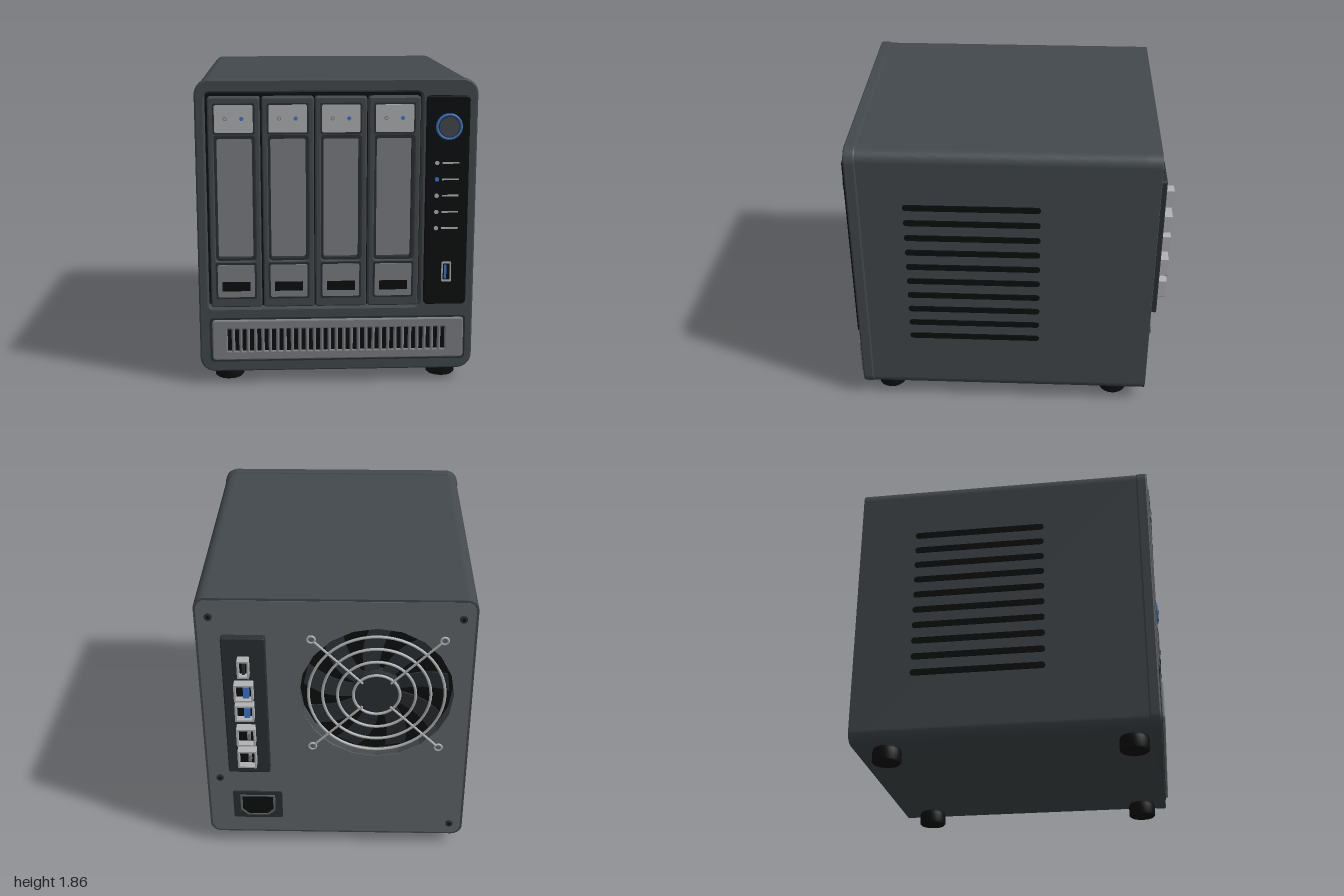
import * as THREE from 'three';

const mat = (name, color) => Object.assign(new THREE.MeshStandardMaterial({ color }), { name });

// Rounded rectangle outline from corner to corner
function rounded(x0, y0, x1, y1, r, Type = THREE.Shape) {
  const s = new Type(), h = Math.PI / 2;
  s.moveTo(x0 + r, y0);
  s.lineTo(x1 - r, y0); s.absarc(x1 - r, y0 + r, r, -h, 0);
  s.lineTo(x1, y1 - r); s.absarc(x1 - r, y1 - r, r, 0, h);
  s.lineTo(x0 + r, y1); s.absarc(x0 + r, y1 - r, r, h, 2 * h);
  s.lineTo(x0, y0 + r); s.absarc(x0 + r, y0 + r, r, 2 * h, 3 * h);
  return s;
}
const hole = (x0, y0, x1, y1, r) => rounded(x0, y0, x1, y1, r, THREE.Path);
const circle = (x, y, r) => new THREE.Path().absarc(x, y, r, 0, Math.PI * 2);

export function createModel() {
  const model = new THREE.Group();
  model.name = 'storageBox';
  const body = mat('charcoal body', 0x43494d);
  const dark = mat('dark trim', 0x2c3033);
  const black = mat('black', 0x0d0e0f);
  const grey = mat('mid grey', 0x7c7f85);
  const light = mat('light grey', 0xb2b3b5);
  const blue = mat('blue', 0x3d78cf);
  const rear = mat('rear panel grey', 0x63676a);

  const add = (name, geo, m, x = 0, y = 0, z = 0, parent = model) => {
    const mesh = new THREE.Mesh(geo, m);
    mesh.name = name;
    mesh.position.set(x, y, z);
    parent.add(mesh);
    return mesh;
  };
  // Extruded outline between two depths, with an optional bevel
  const slab = (name, shape, m, z0, z1, holes = [], bevel = 0) => {
    shape.holes.push(...holes);
    const geo = new THREE.ExtrudeGeometry(shape, {
      depth: z1 - z0 - 2 * bevel, curveSegments: 10, bevelEnabled: bevel > 0,
      bevelSize: bevel, bevelThickness: bevel, bevelOffset: -bevel, bevelSegments: 2,
    });
    return add(name, geo, m, 0, 0, z0 + bevel);
  };
  const box = (name, m, x0, y0, x1, y1, z0, z1) =>
    add(name, new THREE.BoxGeometry(x1 - x0, y1 - y0, z1 - z0), m, (x0 + x1) / 2, (y0 + y1) / 2, (z0 + z1) / 2);
  const disc = (name, m, x, y, z0, z1, r, n = 20) =>
    add(name, new THREE.CylinderGeometry(r, r, z1 - z0, n).rotateX(Math.PI / 2), m, x, y, (z0 + z1) / 2);

  // Case, rear shell around the fan well, rear plate
  const FX = -0.245, FY = 1.195, FR = 0.465;
  slab('case', rounded(-0.82, 0.09, 0.82, 1.85, 0.07), body, -0.8, 0.9);
  slab('rearShell', rounded(-0.82, 0.09, 0.82, 1.85, 0.07), body, -0.89, -0.8, [circle(FX, FY, FR)]);
  slab('rearPanel', rounded(-0.806, 0.104, 0.806, 1.836, 0.06), rear, -0.894, -0.885, [circle(FX, FY, FR)]);

  // Front bezel with the bay opening
  slab('frontBezel', rounded(-0.828, 0.08, 0.828, 1.86, 0.09), body, 0.895, 0.966,
    [hole(-0.77, 0.48, 0.502, 1.782, 0.03)], 0.01);
  slab('bayBacking', rounded(-0.79, 0.46, 0.52, 1.8, 0.03), black, 0.895, 0.906);

  // Four drive bays
  for (const cx of [-0.601, -0.286, 0.025, 0.339]) {
    slab('bayFrame', rounded(cx - 0.152, 0.49, cx + 0.152, 1.757, 0.015), body, 0.9, 0.974,
      [hole(cx - 0.118, 0.778, cx + 0.118, 1.527, 0.02)], 0.008);
    slab('bayWindowLining', rounded(cx - 0.126, 0.77, cx + 0.126, 1.535, 0.02), dark, 0.906, 0.966,
      [hole(cx - 0.104, 0.793, cx + 0.104, 1.512, 0.015)]);
    box('bayInnerPanel', grey, cx - 0.11, 0.785, cx + 0.11, 1.52, 0.906, 0.925);
    slab('labelTrim', rounded(cx - 0.122, 1.54, cx + 0.122, 1.722, 0.012), dark, 0.97, 0.976);
    slab('bayLabel', rounded(cx - 0.112, 1.55, cx + 0.112, 1.712, 0.01), light, 0.97, 0.98);
    slab('latchTrim', rounded(cx - 0.122, 0.543, cx + 0.122, 0.767, 0.012), dark, 0.97, 0.976);
    slab('latch', rounded(cx - 0.11, 0.555, cx + 0.11, 0.755, 0.01), grey, 0.97, 0.98);
    box('latchSlot', black, cx - 0.084, 0.593, cx + 0.084, 0.65, 0.975, 0.982);
    disc('idleLightRing', grey, cx - 0.05, 1.632, 0.975, 0.982, 0.012, 14);
    disc('idleLight', light, cx - 0.05, 1.632, 0.975, 0.984, 0.007, 14);
    disc('activeLight', blue, cx + 0.046, 1.632, 0.975, 0.984, 0.012, 14);
  }

  // Control strip: power button, indicators, port
  slab('controlPanel', rounded(0.524, 0.497, 0.78, 1.762, 0.025), black, 0.96, 0.984, [], 0.006);
  disc('powerButton', dark, 0.657, 1.58, 0.98, 0.998, 0.064, 40);
  disc('powerButtonFace', body, 0.657, 1.58, 0.99, 1.0, 0.058, 40);
  add('powerRing', new THREE.TorusGeometry(0.071, 0.008, 10, 48), blue, 0.657, 1.58, 0.99);
  for (let i = 0; i < 5; i++) {
    const y = 1.365 - i * 0.0985;
    disc('indicator', i === 1 ? blue : light, 0.591, y, 0.98, 0.99, 0.013, 16);
    box('indicatorLine', light, 0.622, y - 0.005, 0.722, y + 0.005, 0.98, 0.988);
  }
  slab('frontPortFrame', rounded(0.629, 0.642, 0.687, 0.762, 0.006), light, 0.98, 0.995,
    [hole(0.637, 0.65, 0.679, 0.754, 0.003)]);
  box('frontPortTongue', blue, 0.645, 0.66, 0.659, 0.746, 0.98, 0.991);

  // Lower vent grille
  slab('ventTrim', rounded(-0.768, 0.145, 0.785, 0.421, 0.025), dark, 0.96, 0.97);
  slab('ventBacking', rounded(-0.7, 0.2, 0.7, 0.37, 0.01), black, 0.96, 0.974);
  const slots = [];
  for (let i = 0; i < 30; i++) {
    const x = -0.648 + i * 0.0446;
    slots.push(hole(x - 0.012, 0.215, x + 0.012, 0.352, 0.002));
  }
  slab('ventGrille', rounded(-0.752, 0.158, 0.772, 0.41, 0.02), grey, 0.962, 0.986, slots, 0.008);

  // Side slots, offset differently on each side
  for (const [side, z] of [[1, 0.222], [-1, -0.115]]) {
    for (let i = 0; i < 10; i++) {
      const geo = new THREE.ExtrudeGeometry(rounded(-0.413, -0.02, 0.413, 0.02, 0.019),
        { depth: 0.009, bevelEnabled: false, curveSegments: 6 });
      add('sideSlot', geo, black, side * 0.817, 0.517 + i * 0.1073, z).rotation.y = side * Math.PI / 2;
    }
  }

  // Feet
  for (const x of [-0.66, 0.66]) for (const z of [0.8, -0.687]) {
    const foot = [[0, 0], [0.08, 0], [0.089, 0.009], [0.089, 0.075], [0.08, 0.095], [0, 0.095]]
      .map(p => new THREE.Vector2(...p));
    add('foot', new THREE.LatheGeometry(foot, 28), black, x, 0, z);
  }

  // Rear fan: well, blades, hub and wire guard
  disc('fanWell', black, FX, FY, -0.806, -0.799, FR + 0.01, 48);
  const fan = new THREE.Group();
  fan.name = 'fan';
  fan.position.set(FX, FY, -0.84);
  model.add(fan);
  const blade = new THREE.Shape();
  blade.moveTo(0.13, -0.04);
  blade.quadraticCurveTo(0.3, -0.07, 0.44, 0.04);
  blade.lineTo(0.41, 0.17);
  blade.quadraticCurveTo(0.28, 0.06, 0.13, 0.04);
  const bladeGeo = new THREE.ExtrudeGeometry(blade, { depth: 0.008, bevelEnabled: false }).rotateX(0.15);
  for (let i = 0; i < 9; i++) add('fanBlade', bladeGeo, dark, 0, 0, 0, fan).rotation.z = i * Math.PI * 2 / 9;
  disc('fanHub', dark, FX, FY, -0.88, -0.81, 0.145, 40);
  for (const r of [0.14, 0.235, 0.325, 0.41])
    add('guardRing', new THREE.TorusGeometry(r, 0.009, 8, 56), light, FX, FY, -0.895);
  for (let i = 0; i < 4; i++) {
    const a = Math.PI / 4 + i * Math.PI / 2, c = Math.cos(a), s = Math.sin(a);
    const wire = add('guardSpoke', new THREE.CylinderGeometry(0.008, 0.008, 0.41, 8), light,
      FX + c * 0.325, FY + s * 0.325, -0.898);
    wire.rotation.z = a - Math.PI / 2;
    add('guardEye', new THREE.TorusGeometry(0.022, 0.007, 8, 20), light, FX + c * 0.55, FY + s * 0.55, -0.898);
    disc('guardScrew', rear, FX + c * 0.55, FY + s * 0.55, -0.9, -0.89, 0.016, 16);
  }

  // Rear connector block
  slab('connectorPlate', rounded(0.41, 0.625, 0.67, 1.61, 0.015), dark, -0.942, -0.89, [], 0.006);
  [[1.37, 1.49, 0], [1.203, 1.322, 1], [1.06, 1.173, 1], [0.873, 1.0, 2], [0.705, 0.832, 2]].forEach(([y0, y1, kind]) => {
    const x0 = kind ? 0.487 : 0.505, x1 = kind ? 0.602 : 0.575, t = 0.011;
    slab('connectorShell', rounded(x0, y0, x1, y1, 0.004), light, -1, -0.935,
      [hole(x0 + t, y0 + t, x1 - t, y1 - t, 0.003)]);
    box('connectorWell', black, x0 + t / 2, y0 + t / 2, x1 - t / 2, y1 - t / 2, -0.955, -0.94);
    if (kind === 2) box('connectorContacts', grey, x0 + 0.03, y0 + 0.04, x0 + 0.05, y1 - 0.04, -0.985, -0.95);
    else box('connectorTongue', kind ? blue : dark, x0 + 0.025, y0 + 0.022, x0 + (kind ? 0.06 : 0.04), y1 - 0.022, -0.988, -0.95);
  });

  // Power inlet
  slab('inletPlate', rounded(0.345, 0.222, 0.66, 0.435, 0.015), dark, -0.904, -0.89);
  const inlet = (Type, k) => {
    const s = new Type();
    [[-0.1, -0.035], [-0.06, -0.072], [0.06, -0.072], [0.1, -0.035], [0.1, 0.072], [-0.1, 0.072]]
      .forEach(([x, y], i) => s[i ? 'lineTo' : 'moveTo'](0.502 + x * k, 0.328 + y * k));
    s.closePath();
    return s;
  };
  slab('inletRim', inlet(THREE.Shape, 1.12), rear, -0.909, -0.9, [inlet(THREE.Path, 0.98)]);
  slab('inletSocket', inlet(THREE.Shape, 0.98), black, -0.906, -0.9);

  // Rear panel screws
  for (const [x, y] of [[0.735, 1.73], [0.735, 0.545], [-0.735, 1.73], [-0.735, 0.185]]) {
    disc('screw', dark, x, y, -0.905, -0.89, 0.023);
    disc('screwSocket', black, x, y, -0.907, -0.9, 0.011, 6);
  }
  return model;
}
